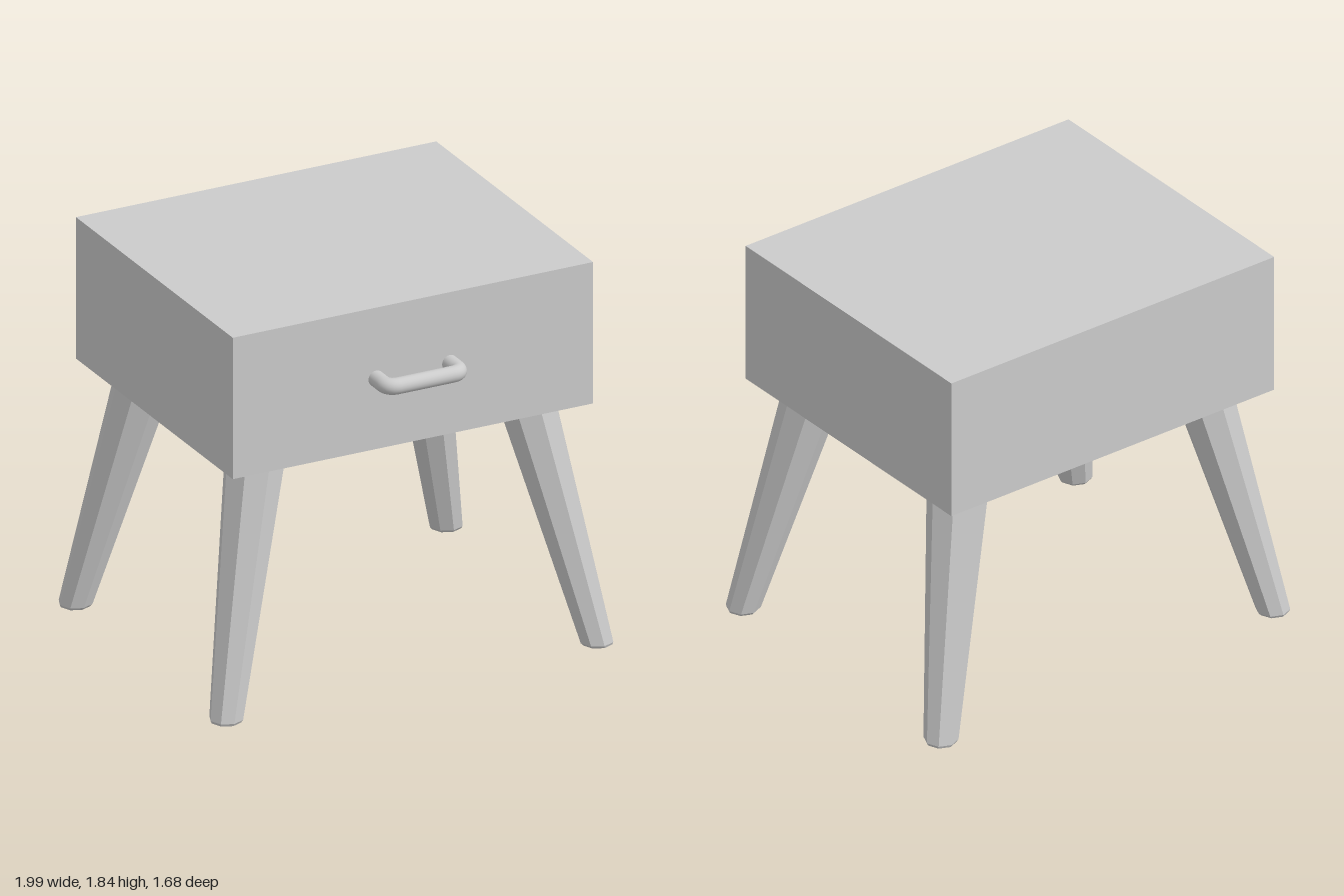
import * as THREE from 'three';

const grey = new THREE.MeshStandardMaterial({ color: 0xcccccc });
const facetedGrey = new THREE.MeshStandardMaterial({ color: 0xcccccc, flatShading: true });

const LEG_HEIGHT = 1.16;

// Eight-sided tapered leg with a bevelled foot, splayed outwards towards (sx, sz)
function legGeometry(sx, sz) {
  const profile = [[0, 0], [0.07, 0], [0.078, 0.012], [0.14, LEG_HEIGHT], [0, LEG_HEIGHT]]
    .map(([r, y]) => new THREE.Vector2(r, y));
  const geometry = new THREE.LatheGeometry(profile, 8);
  const pos = geometry.attributes.position;
  for (let i = 0; i < pos.count; i++) {
    const drop = 1 - pos.getY(i) / LEG_HEIGHT;
    pos.setX(i, pos.getX(i) + sx * (0.67 + 0.252 * drop));
    pos.setZ(i, pos.getZ(i) + sz * (0.515 + 0.203 * drop) - 0.043);
  }
  geometry.computeVertexNormals();
  return geometry;
}

// Round bar bent into a U, with both ends meeting the drawer front
function handleGeometry() {
  const w = 0.183, y = 1.5, back = 0.67, front = 0.804, bend = 0.05;
  const v = (x, z) => new THREE.Vector3(x, y, z);
  const path = new THREE.CurvePath();
  path.add(new THREE.LineCurve3(v(-w, back), v(-w, front - bend)));
  path.add(new THREE.QuadraticBezierCurve3(v(-w, front - bend), v(-w, front), v(-w + bend, front)));
  path.add(new THREE.LineCurve3(v(-w + bend, front), v(w - bend, front)));
  path.add(new THREE.QuadraticBezierCurve3(v(w - bend, front), v(w, front), v(w, front - bend)));
  path.add(new THREE.LineCurve3(v(w, front - bend), v(w, back)));
  return new THREE.TubeGeometry(path, 72, 0.038, 20, false);
}

export function createModel() {
  const model = new THREE.Group();
  model.name = 'nightstand';

  const add = (name, geometry, material) => {
    const mesh = new THREE.Mesh(geometry, material);
    mesh.name = name;
    model.add(mesh);
    return mesh;
  };

  // Cabinet body
  add('cabinet', new THREE.BoxGeometry(1.79, 0.68, 1.49), grey).position.set(0, 1.5, -0.057);

  // Drawer pull
  add('drawerHandle', handleGeometry(), grey);

  // Four splayed legs
  for (const [sx, side] of [[1, 'Left'], [-1, 'Right']]) {
    for (const [sz, end] of [[1, 'front'], [-1, 'back']]) {
      add(`${end}${side}Leg`, legGeometry(sx, sz), facetedGrey);
    }
  }
  return model;
}
